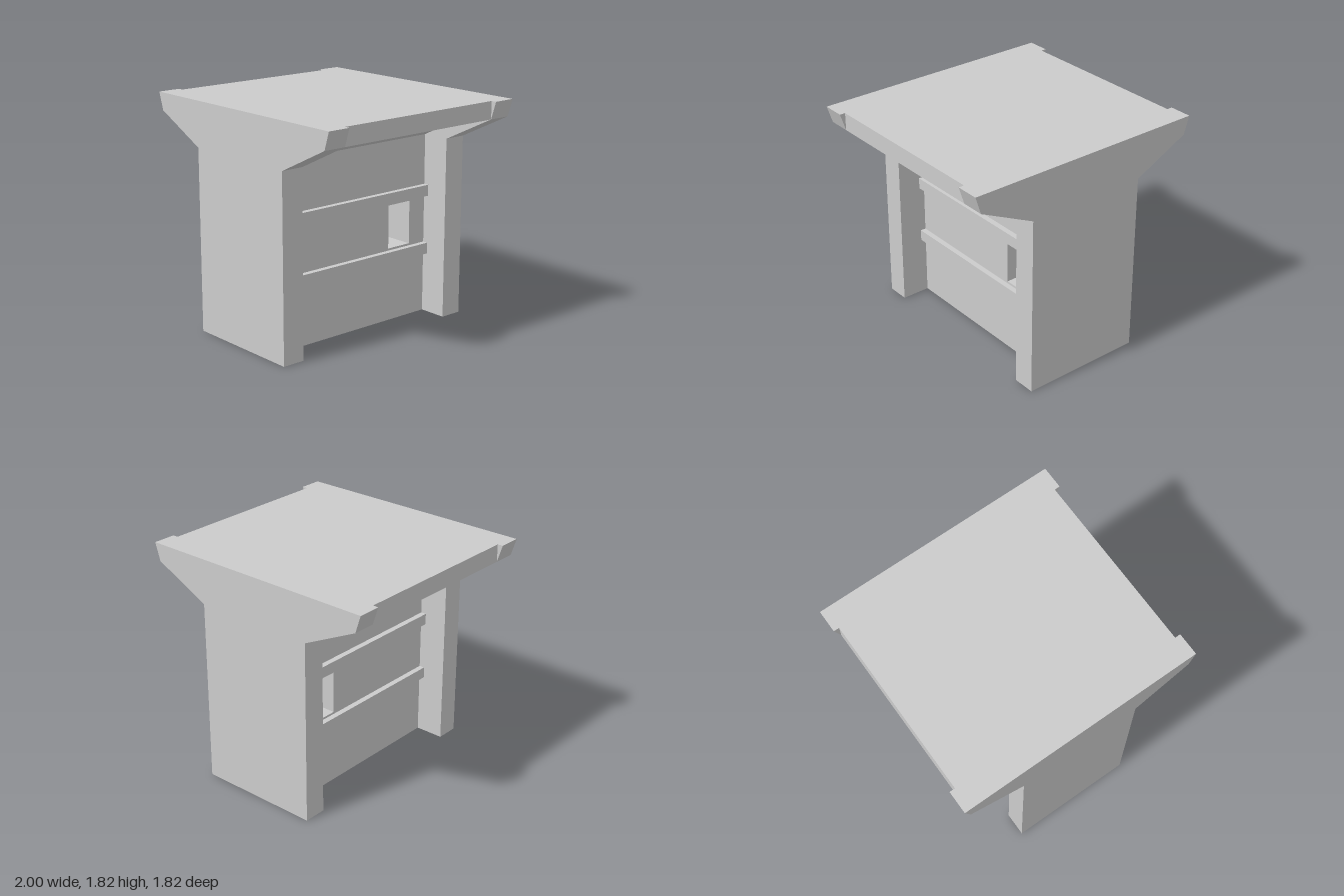
import * as THREE from 'three';

const material = new THREE.MeshStandardMaterial({ color: 0xcccccc, flatShading: true });
const HALF_DEPTH = 0.91;  // outer faces of the end slabs
const INNER = 0.727;      // inner faces of the end slabs
const WALL = 0.266;       // half thickness of the recessed wall
const SHOULDER = 1.46, EAVE = 1.68, TOP = 1.82;

// Extrudes a shape and centres it along its depth
function extrude(shape, depth) {
  return new THREE.ExtrudeGeometry(shape, { depth, bevelEnabled: false }).translate(0, 0, -depth / 2);
}

// Closed shape symmetric about x = 0, from its right half listed bottom to top
function mirroredShape(half) {
  const left = half.map(([x, y]) => [-x, y]).reverse();
  return new THREE.Shape([...half, ...left].map(([x, y]) => new THREE.Vector2(x, y)));
}

function rectangle(Type, x0, y0, x1, y1) {
  return new Type([[x0, y0], [x1, y0], [x1, y1], [x0, y1]].map(([x, y]) => new THREE.Vector2(x, y)));
}

export function createModel() {
  const group = new THREE.Group();
  const add = (name, geometry, x = 0, y = 0, z = 0) => {
    const mesh = new THREE.Mesh(geometry, material);
    mesh.name = name;
    mesh.position.set(x, y, z);
    group.add(mesh);
  };

  // T-shaped slabs closing the front and back
  const slab = extrude(
    mirroredShape([[0.5, 0], [0.5, SHOULDER], [0.955, EAVE], [1, TOP]]),
    HALF_DEPTH - INNER
  );
  add('frontSlab', slab, 0, 0, (HALF_DEPTH + INNER) / 2);
  add('backSlab', slab, 0, 0, -(HALF_DEPTH + INNER) / 2);

  // Flared top between the slabs, with a flat soffit under each eave
  add('canopy', extrude(
    mirroredShape([[WALL, SHOULDER], [0.72, EAVE], [0.955, EAVE], [0.955, TOP]]),
    INNER * 2
  ));

  // Recessed wall with a window cut right through it
  const wall = rectangle(THREE.Shape, -INNER, 0, INNER, SHOULDER);
  wall.holes.push(rectangle(THREE.Path, 0.34, 0.595, 0.565, 0.945));
  add('wall', extrude(wall, WALL * 2).rotateY(Math.PI / 2));

  // Two horizontal rails on each side of the wall
  const rail = new THREE.BoxGeometry(0.045, 0.09, INNER * 2);
  for (const side of [1, -1]) {
    const label = side > 0 ? 'left' : 'right';
    add(label + 'LowerRail', rail, side * (WALL + 0.0225), 0.533, 0);
    add(label + 'UpperRail', rail, side * (WALL + 0.0225), 1.012, 0);
  }

  return group;
}
